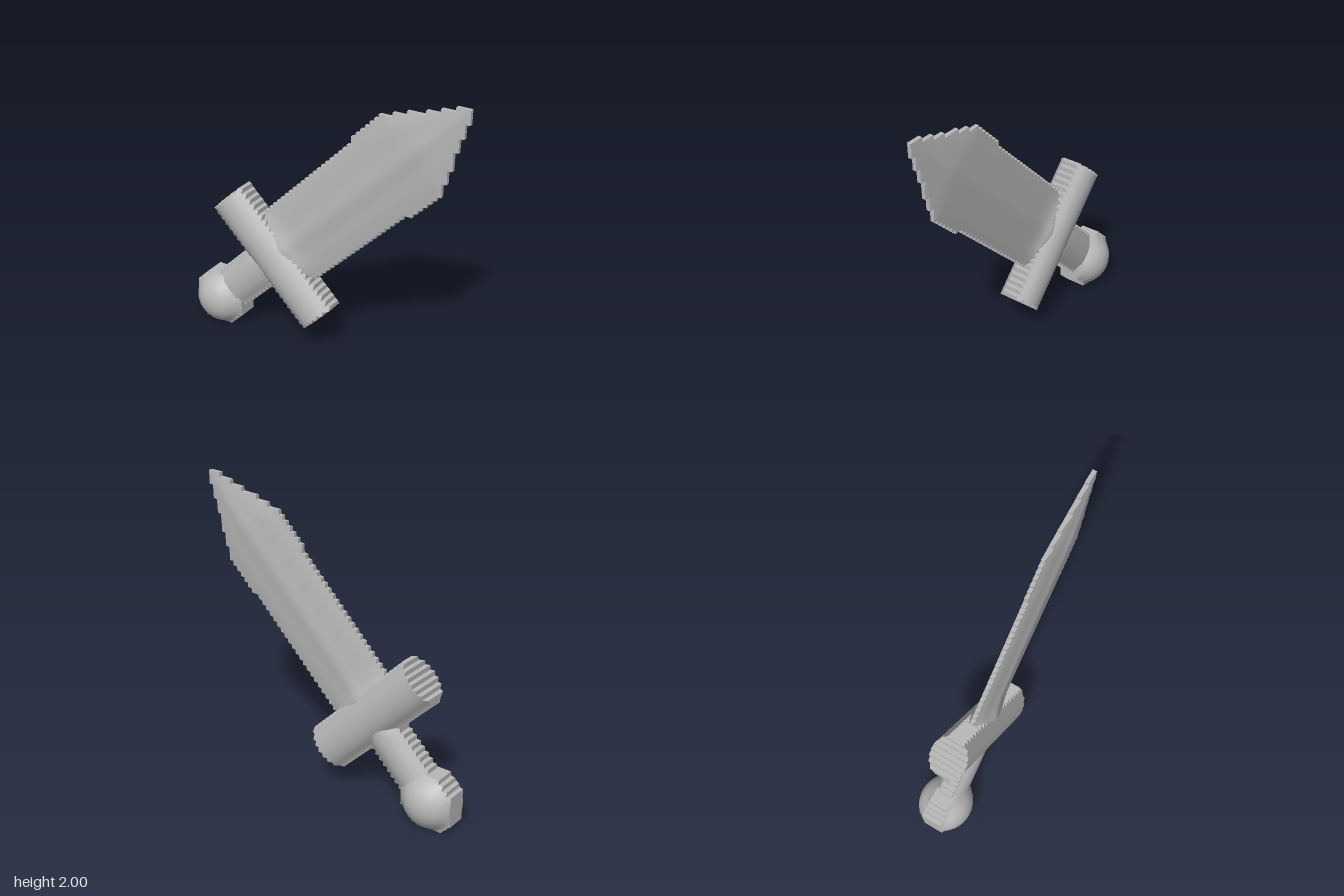
import * as THREE from 'three';

const CELLS = 64;            // stepped outline grid over the 2 x 2 silhouette
const STEP = 2 / CELLS;

// Inflated relief on the grid: inside(u, v, x, y) picks cells, height(u, v, x, y) is half the thickness.
// u runs along the sword towards the tip, v across it.
function relief(inside, height) {
  const pos = [], index = [], ids = new Map();
  const sample = (fn, x, y) => fn((x + y - 1) * Math.SQRT1_2, (y - 1 - x) * Math.SQRT1_2, x, y);
  const at = (i, j) => [-1 + i * STEP, j * STEP];
  const filled = (i, j) => i >= 0 && j >= 0 && i < CELLS && j < CELLS && sample(inside, ...at(i + 0.5, j + 0.5));
  const add = (i, j, side) => {
    const [x, y] = at(i, j);
    pos.push(x, y, side * sample(height, x, y));
    return pos.length / 3 - 1;
  };
  const shared = (i, j, side) => {
    const key = `${i},${j},${side}`;
    if (!ids.has(key)) ids.set(key, add(i, j, side));
    return ids.get(key);
  };
  const quad = (a, b, c, d) => index.push(a, b, c, a, c, d);

  for (let i = 0; i < CELLS; i++) {
    for (let j = 0; j < CELLS; j++) {
      if (!filled(i, j)) continue;
      const c = [[i, j], [i + 1, j], [i + 1, j + 1], [i, j + 1]];
      // smooth front and back skins
      quad(...c.map(([a, b]) => shared(a, b, 1)));
      quad(...c.slice().reverse().map(([a, b]) => shared(a, b, -1)));
      // sharp walls on the stepped rim
      [[0, -1], [1, 0], [0, 1], [-1, 0]].forEach(([di, dj], k) => {
        if (filled(i + di, j + dj)) return;
        const p = c[k], q = c[(k + 1) % 4];
        quad(add(...p, -1), add(...q, -1), add(...q, 1), add(...p, 1));
      });
    }
  }
  const g = new THREE.BufferGeometry();
  g.setAttribute('position', new THREE.Float32BufferAttribute(pos, 3));
  g.setIndex(index);
  g.computeVertexNormals();
  return g;
}

// Rounded section of half-width w and half-thickness r, never thinner than rim
const round = (d, w, r, rim) => Math.max(rim, r * Math.sqrt(Math.max(0, 1 - (d / w) ** 2)));

export function createModel() {
  const sword = new THREE.Group();
  sword.name = 'sword';
  const steel = new THREE.MeshStandardMaterial({ color: 0xb8b8b8 });
  steel.name = 'grey steel';
  const part = (name, inside, height) => {
    const mesh = new THREE.Mesh(relief(inside, height), steel);
    mesh.name = name;
    sword.add(mesh);
  };

  // Blade: widens slightly, then tapers to the tip, with a raised spine
  const bladeWidth = (u) => (u < 0.89 ? 0.26 + 0.02 * (u + 0.35) / 1.24 : 0.28 * Math.max(0, 1.414 - u) / 0.524);
  part('blade',
    (u, v) => u > -0.52 && Math.abs(v) < bladeWidth(u) + 0.012,
    (u, v) => {
      const w = bladeWidth(u) + 0.012;
      const t = Math.min(1, Math.abs(v) / w);
      const spine = 0.012 * Math.exp(-((t / 0.25) ** 2));
      const flare = 0.035 * Math.exp(-Math.max(0, u + 0.37) / 0.05) * (1 - t * t);
      return 0.013 + Math.min(1, w / 0.25) * (0.024 * (1 - t ** 3) + spine) + flare;
    });

  // Crossguard: a thick bar across the sword
  part('crossguard',
    (u, v) => Math.abs(u + 0.515) < 0.15 && Math.abs(v) < 0.497,
    (u) => round(u + 0.515, 0.165, 0.128, 0.05));

  // Grip: flares a little where it meets the guard
  const gripWidth = (u) => 0.092 + 0.045 * Math.exp(-Math.max(0, u + 0.665) / 0.06);
  part('grip',
    (u, v) => u > -1.14 && u < -0.52 && Math.abs(v) < gripWidth(u),
    (u, v) => round(v, gripWidth(u) + 0.015, 0.1, 0.05));

  // Pommel: a ball cut by the stepped rim
  part('pommel',
    (u, v, x, y) => Math.hypot(x + 0.82, y - 0.18) < 0.195,
    (u, v, x, y) => round(Math.hypot(x + 0.82, y - 0.18), 0.2, 0.183, 0.07));

  return sword;
}
